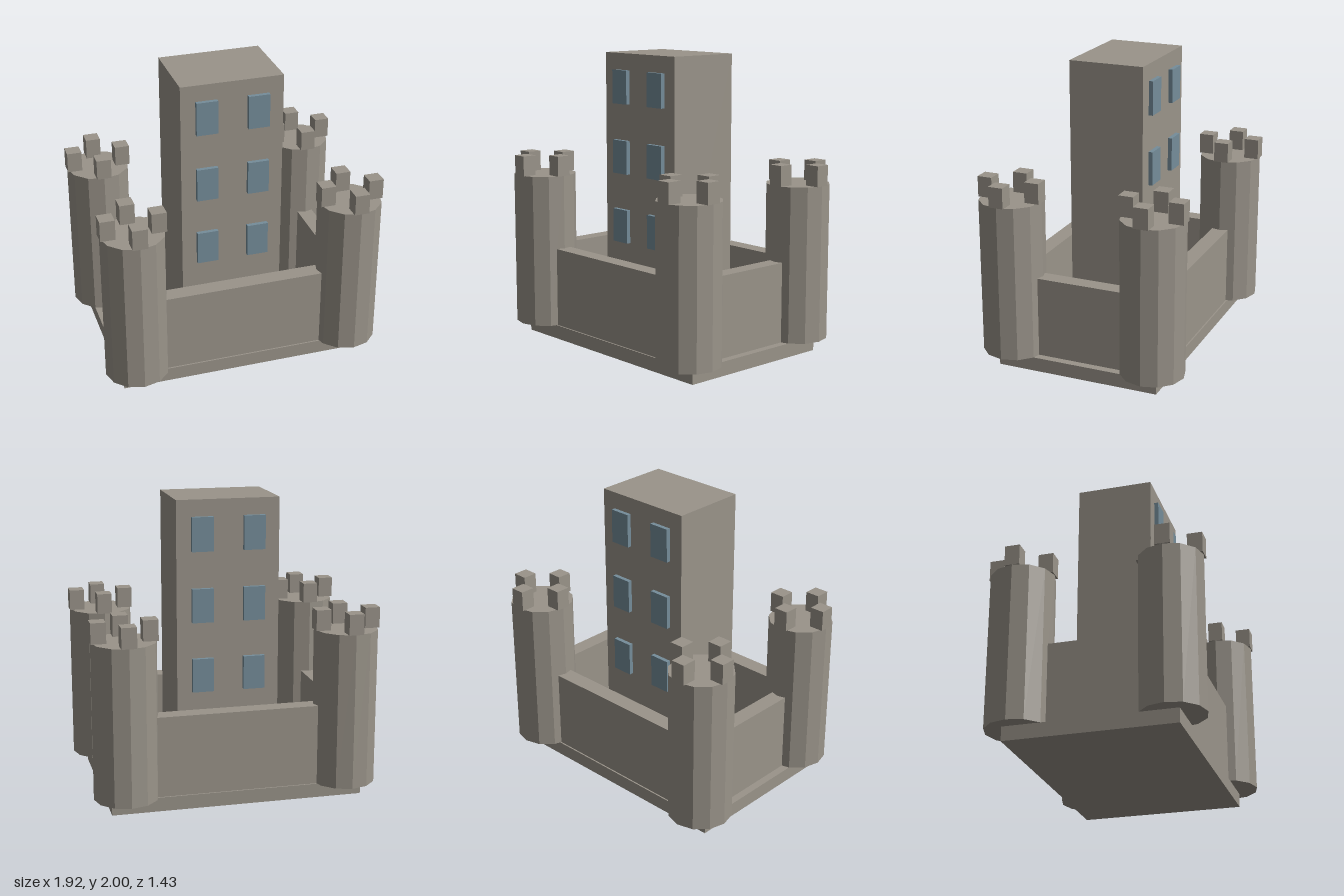
import * as THREE from 'three';

export function createModel() {
  const stone = new THREE.MeshStandardMaterial({ color: 0x9a948a });
  stone.name = 'stone';
  stone.flatShading = true;
  const glass = new THREE.MeshStandardMaterial({ color: 0x758d9a });
  glass.name = 'blueGlass';

  const castle = new THREE.Group();
  castle.name = 'castle';

  // Box given by its centre on the plan, its bottom and its size
  function box(parent, name, material, [w, h, d], [x, bottom, z]) {
    const mesh = new THREE.Mesh(new THREE.BoxGeometry(w, h, d), material);
    mesh.name = name;
    mesh.position.set(x, bottom + h / 2, z);
    parent.add(mesh);
    return mesh;
  }

  const floor = 0.095;
  const wallHeight = 0.545;
  const towerX = 0.743;
  const towerZ = 0.495;
  const towerTop = 1.15;

  // Ground slab and central keep
  box(castle, 'base', stone, [1.7, floor, 1.125], [0, 0, 0]);
  box(castle, 'keep', stone, [0.695, 2 - floor, 0.515], [0, floor, 0]);

  // Curtain walls between the towers
  for (const s of [1, -1]) {
    box(castle, s > 0 ? 'frontWall' : 'backWall', stone,
      [2 * towerX, wallHeight, 0.115], [0, floor, s * towerZ]);
    box(castle, s > 0 ? 'leftWall' : 'rightWall', stone,
      [0.11, wallHeight, 2 * towerZ - 0.115], [s * towerX, floor, 0]);
  }

  // Corner towers, each crowned with four merlons
  const towerGeometry = new THREE.CylinderGeometry(0.215, 0.215, towerTop - floor, 12);
  for (const sx of [1, -1]) {
    for (const sz of [1, -1]) {
      const tower = new THREE.Group();
      tower.name = (sz > 0 ? 'front' : 'back') + (sx > 0 ? 'Left' : 'Right') + 'Tower';
      tower.position.set(sx * towerX, 0, sz * towerZ);
      const shaft = new THREE.Mesh(towerGeometry, stone);
      shaft.name = 'towerShaft';
      shaft.position.y = (towerTop + floor) / 2;
      tower.add(shaft);
      for (const [dx, dz] of [[1, 0], [-1, 0], [0, 1], [0, -1]]) {
        box(tower, 'merlon', stone, [0.1, 0.138, 0.1],
          [dx * 0.168, towerTop, dz * 0.168]);
      }
      castle.add(tower);
    }
  }

  // Raised windows, three rows of two on the front and back of the keep
  for (const sz of [1, -1]) {
    for (const sx of [1, -1]) {
      for (const bottom of [0.71, 1.185, 1.66]) {
        box(castle, 'window', glass, [0.145, 0.228, 0.04], [sx * 0.175, bottom, sz * 0.266]);
      }
    }
  }

  return castle;
}
